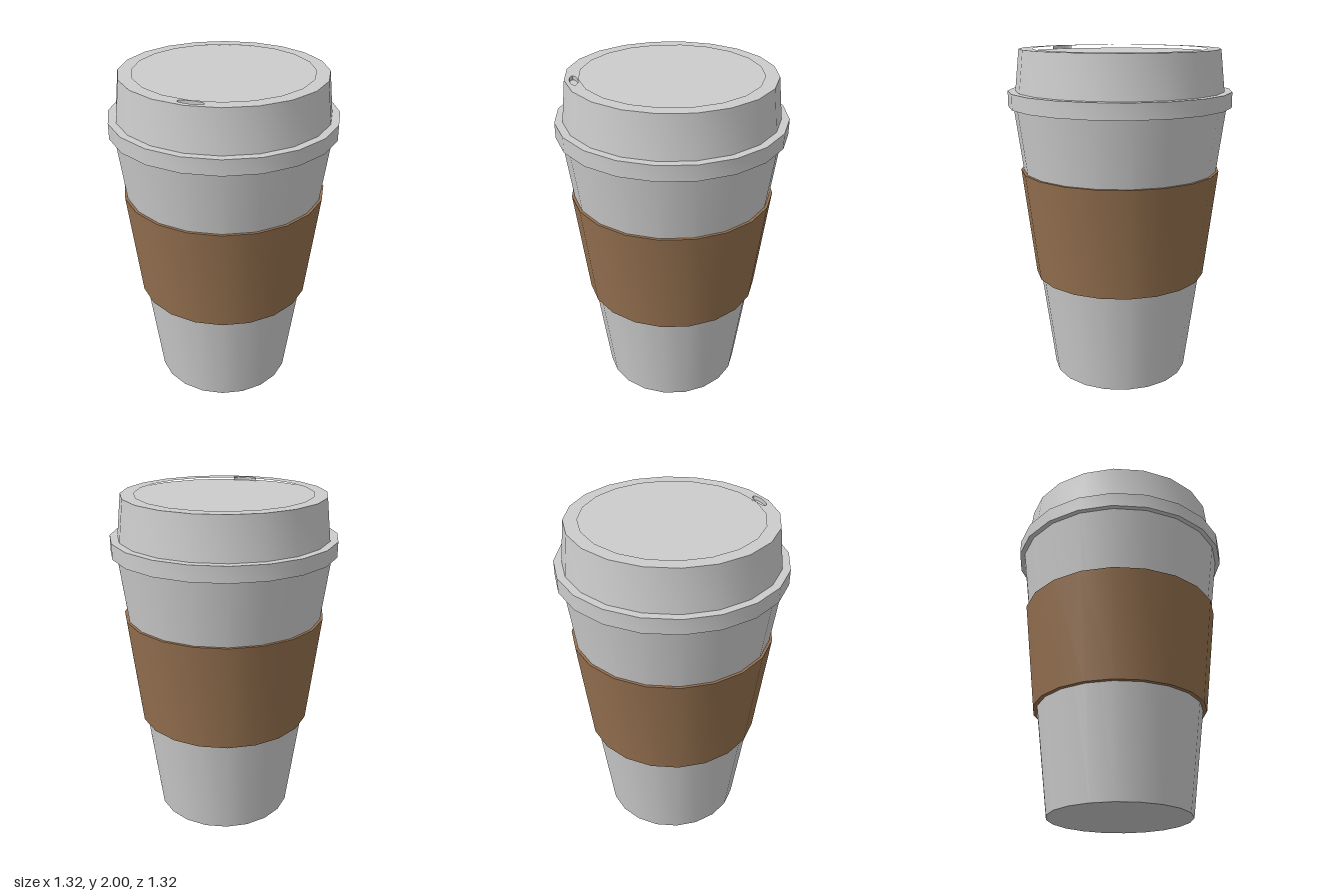
import * as THREE from 'three';
import { toCreasedNormals } from 'three/addons/utils/BufferGeometryUtils.js';

const SIDES = 20;
const grey = new THREE.MeshStandardMaterial({ color: 0xcccccc });
const brown = new THREE.MeshStandardMaterial({ color: 0x94704f });

function part(name, geometry, material = grey) {
  const mesh = new THREE.Mesh(geometry, material);
  mesh.name = name;
  return mesh;
}

// Turns a [radius, height] profile, smooth around and sharp at its corners
function turned(profile) {
  const points = profile.map(([r, y]) => new THREE.Vector2(r, y));
  return toCreasedNormals(new THREE.LatheGeometry(points, SIDES), Math.PI / 6);
}

// Regular polygon outline with a corner facing the front
function polygon(radius, PathType) {
  const points = [];
  for (let i = 0; i < SIDES; i++) {
    const a = (i / SIDES) * Math.PI * 2;
    points.push(new THREE.Vector2(radius * Math.sin(a), radius * Math.cos(a)));
  }
  return new PathType(points);
}

export function createModel() {
  const model = new THREE.Group();
  model.name = 'takeawayCup';

  // Tapered cup with a closed base
  model.add(part('cup', turned([[0, 0], [0.42, 0], [0.632, 1.67]])));

  // Cardboard sleeve, standing slightly off the cup, with lips at both ends
  model.add(part('sleeve', turned([[0.49, 0.635], [0.525, 0.635], [0.6, 1.29], [0.575, 1.29]]), brown));

  // Lid: projecting ring and sloping wall
  const lid = new THREE.Group();
  lid.name = 'lid';
  lid.add(part('lidWall', turned([[0.6, 1.67], [0.662, 1.67], [0.662, 1.76], [0.617, 1.76], [0.59, 2]])));

  // Raised rim around the recess, pierced by the drinking hole at the front
  const depth = 0.022;
  const rim = polygon(0.59, THREE.Shape);
  const hole = new THREE.Path();
  hole.absellipse(0.015, -0.539, 0.073, 0.023, 0, Math.PI * 2);
  rim.holes.push(polygon(0.512, THREE.Path), hole);
  const rimGeometry = new THREE.ExtrudeGeometry(rim, { depth, bevelEnabled: false, curveSegments: 10 });
  rimGeometry.rotateX(-Math.PI / 2).translate(0, 2 - depth, 0);
  lid.add(part('lidRim', rimGeometry));

  // Recessed floor of the lid
  const floor = new THREE.CircleGeometry(0.59, SIDES);
  floor.rotateX(-Math.PI / 2).translate(0, 2 - depth, 0);
  lid.add(part('lidFloor', floor));

  model.add(lid);
  return model;
}
